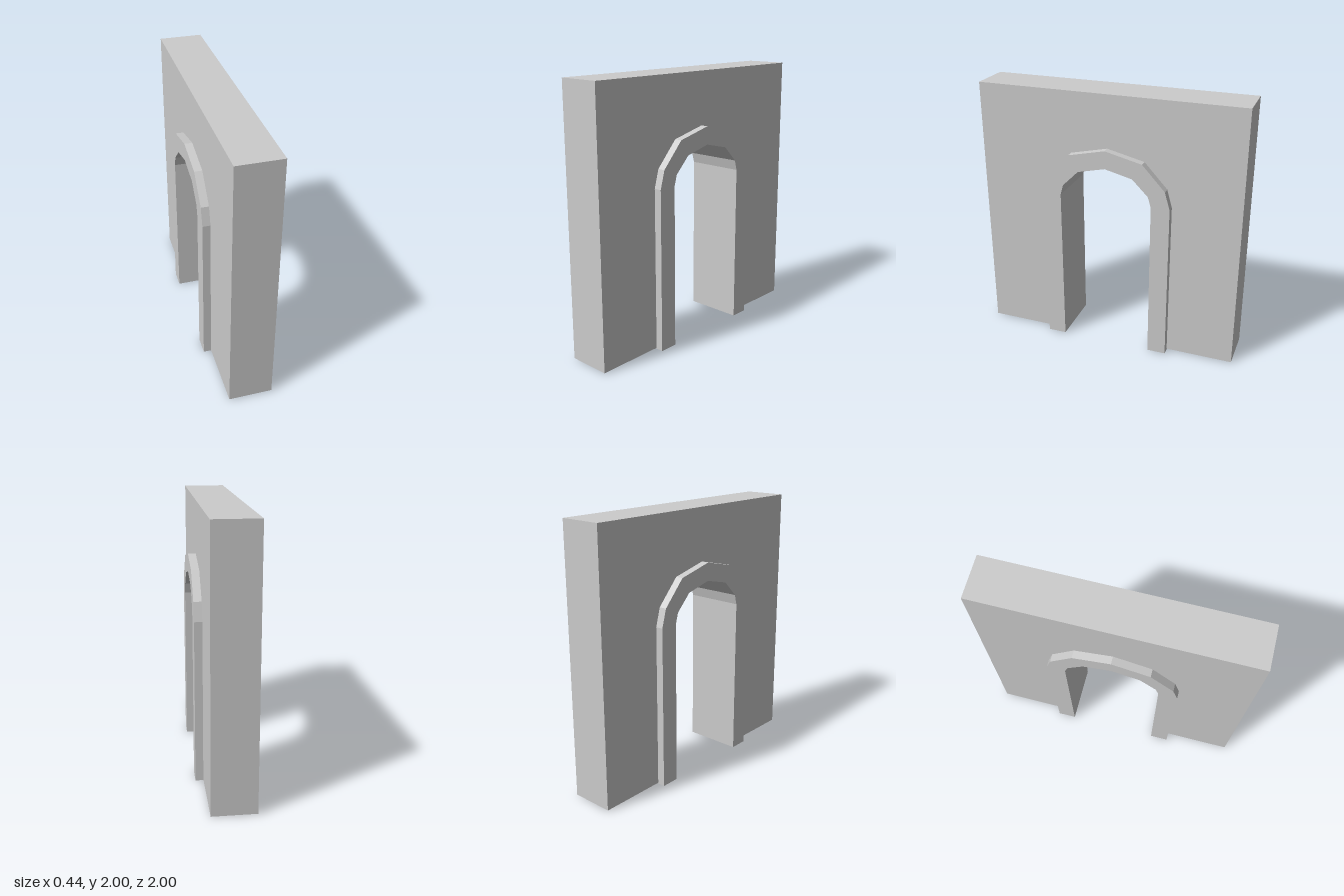
import * as THREE from 'three';

const WALL_HALF = 0.162, TRIM_HALF = 0.22, WALL_BASE = 0.006;

// Half profiles of the arch, from the foot up to the crown: [z, y]
const outer = [[0.49, 0], [0.49, 1.22], [0.452, 1.355], [0.28, 1.54], [0, 1.605]];
const inner = [[0.35, 0], [0.35, 1.222], [0.328, 1.3], [0.208, 1.42], [0, 1.47]];

// Mirror a half profile into a full arch, running from +z foot to -z foot
function fullArch(half, base = 0) {
  const mirrored = half.slice(0, -1).reverse().map(([z, y]) => [-z, y]);
  return [...half, ...mirrored].map(([z, y]) => new THREE.Vector2(z, Math.max(y, base)));
}

export function createModel() {
  const group = new THREE.Group();
  const wallMaterial = new THREE.MeshStandardMaterial({
    color: 0xcccccc, flatShading: true, side: THREE.DoubleSide,
  });
  const trimMaterial = new THREE.MeshStandardMaterial({ color: 0xcccccc, flatShading: true });

  // Hollow wall, open underneath
  const wall = new THREE.Group();
  wall.name = 'wall';
  group.add(wall);
  const addPanel = (name, geometry) => {
    const mesh = new THREE.Mesh(geometry, wallMaterial);
    mesh.name = name;
    wall.add(mesh);
  };

  // Broad faces, cut out around the arch
  const face = new THREE.Shape([
    new THREE.Vector2(1, WALL_BASE), new THREE.Vector2(1, 2),
    new THREE.Vector2(-1, 2), new THREE.Vector2(-1, WALL_BASE),
    ...fullArch(outer, WALL_BASE).reverse(),
  ]);
  for (const side of [1, -1]) {
    addPanel(side > 0 ? 'leftFace' : 'rightFace',
      new THREE.ShapeGeometry(face).rotateY(side * Math.PI / 2).translate(side * WALL_HALF, 0, 0));
    // Narrow ends
    const height = 2 - WALL_BASE;
    addPanel(side > 0 ? 'frontEnd' : 'backEnd',
      new THREE.PlaneGeometry(WALL_HALF * 2, height)
        .rotateY(side > 0 ? 0 : Math.PI)
        .translate(0, WALL_BASE + height / 2, side));
  }
  addPanel('wallTop',
    new THREE.PlaneGeometry(WALL_HALF * 2, 2).rotateX(-Math.PI / 2).translate(0, 2, 0));

  // Solid arch surround, standing proud of both faces
  const archShape = new THREE.Shape([...fullArch(outer), ...fullArch(inner).reverse()]);
  const trim = new THREE.Mesh(
    new THREE.ExtrudeGeometry(archShape, { depth: TRIM_HALF * 2, bevelEnabled: false })
      .translate(0, 0, -TRIM_HALF)
      .rotateY(Math.PI / 2),
    trimMaterial);
  trim.name = 'archTrim';
  group.add(trim);

  return group;
}
